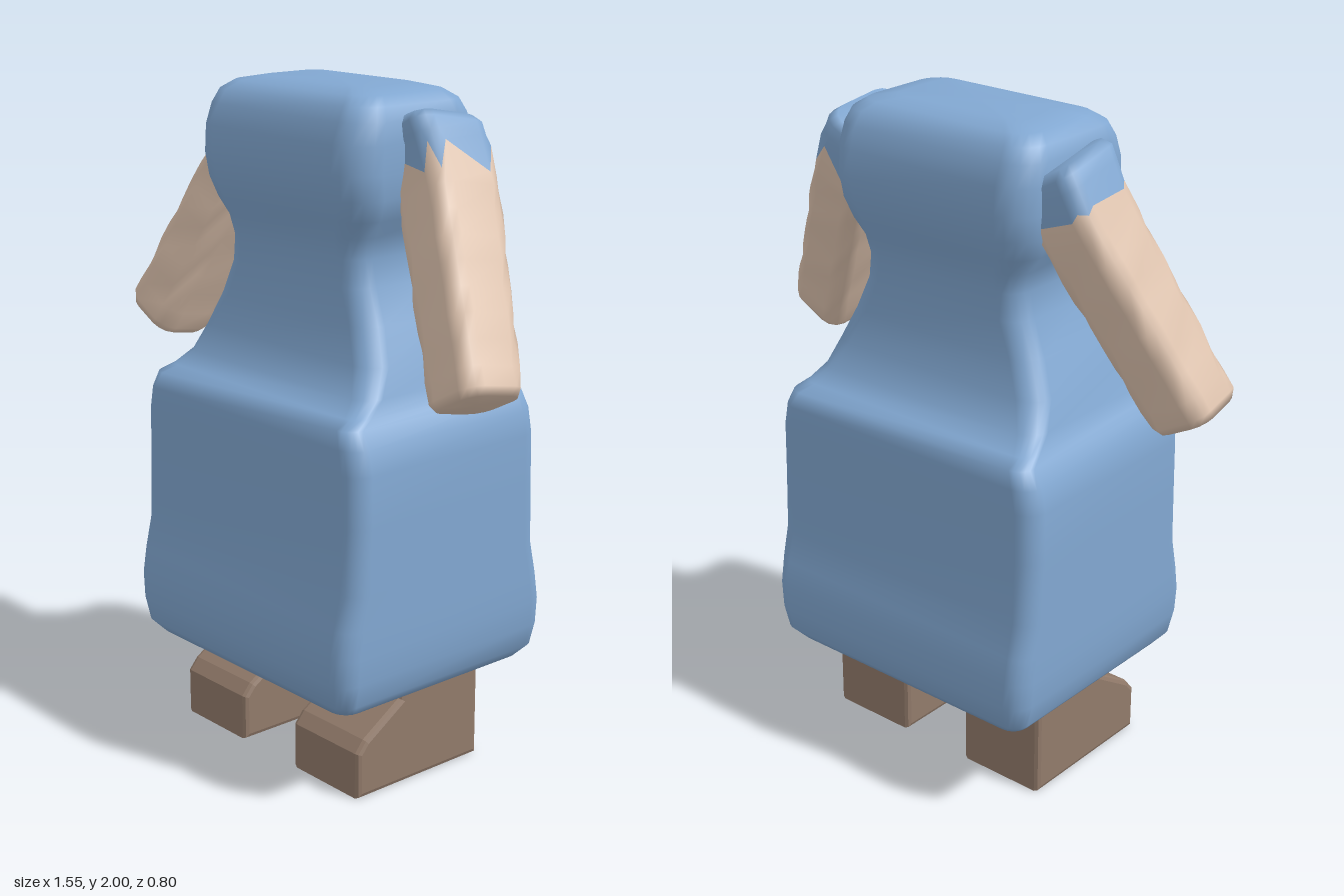
import * as THREE from 'three';

// Points of a rounded rectangle, counter-clockwise
function roundedRect(hx, hy, r, steps = 4) {
  const points = [];
  [[1, 1], [-1, 1], [-1, -1], [1, -1]].forEach(([sx, sy], corner) => {
    for (let i = 0; i < steps; i++) {
      const a = (corner + i / (steps - 1)) * Math.PI / 2;
      points.push([sx * (hx - r) + r * Math.cos(a), sy * (hy - r) + r * Math.sin(a)]);
    }
  });
  return points;
}

// Skin over rings of points, with both ends closed; material changes at ring `split`
function loft(rings, startCentre, endCentre, split = 0) {
  const n = rings[0].length, last = rings.length - 1;
  const positions = [...rings.flat(), startCentre, endCentre].flatMap((p) => [p.x, p.y, p.z]);
  const index = [];
  const start = rings.length * n, end = start + 1;
  let cut = 0;
  for (let j = 0; j < n; j++) index.push(start, (j + 1) % n, j);
  for (let i = 0; i < last; i++) {
    if (i === split) cut = index.length;
    for (let j = 0; j < n; j++) {
      const a = i * n + j, b = i * n + (j + 1) % n;
      index.push(a, b, b + n, a, b + n, a + n);
    }
  }
  for (let j = 0; j < n; j++) index.push(end, last * n + j, last * n + (j + 1) % n);
  const geometry = new THREE.BufferGeometry();
  geometry.setAttribute('position', new THREE.Float32BufferAttribute(positions, 3));
  geometry.setIndex(index);
  geometry.computeVertexNormals();
  if (split) {
    geometry.addGroup(0, cut, 0);
    geometry.addGroup(cut, index.length - cut, 1);
  }
  return geometry;
}

// Dress sections: height, half width, half depth, corner radius
const DRESS = [
  [0.275, 0.40, 0.28, 0.05], [0.295, 0.44, 0.355, 0.05], [0.33, 0.47, 0.385, 0.05],
  [0.40, 0.485, 0.398, 0.06], [0.48, 0.49, 0.398, 0.06], [0.56, 0.49, 0.385, 0.06],
  [0.66, 0.49, 0.362, 0.06], [0.85, 0.49, 0.356, 0.06], [1.0, 0.488, 0.355, 0.06],
  [1.07, 0.475, 0.354, 0.06], [1.12, 0.448, 0.345, 0.05], [1.14, 0.43, 0.30, 0.05],
  [1.18, 0.41, 0.25, 0.06], [1.26, 0.385, 0.215, 0.07], [1.36, 0.34, 0.19, 0.07],
  [1.46, 0.297, 0.182, 0.07], [1.54, 0.284, 0.186, 0.07], [1.60, 0.298, 0.2, 0.08],
  [1.65, 0.33, 0.22, 0.09], [1.71, 0.355, 0.238, 0.1], [1.78, 0.36, 0.248, 0.1],
  [1.86, 0.36, 0.243, 0.1], [1.92, 0.352, 0.222, 0.09], [1.96, 0.335, 0.2, 0.08],
  [1.985, 0.30, 0.165, 0.07], [2.0, 0.22, 0.11, 0.05],
];

function dressGeometry() {
  const rings = DRESS.map(([y, hx, hz, r]) =>
    roundedRect(hx, hz, r, 6).map(([a, b]) => new THREE.Vector3(a, y, -b)));
  return loft(rings, new THREE.Vector3(0, 0.25, 0), new THREE.Vector3(0, 2, 0));
}

// Arm with sleeve; the sleeve edge is zigzagged by `tooth`
function armGeometry(side, tooth) {
  const centre = (t) => new THREE.Vector3(
    side * (0.33 + 0.36 * t), 1.9 - 0.69 * t, -0.045 + 0.155 * Math.max(0, (t - 0.2) / 0.8));
  const axis = centre(1).sub(centre(0)).normalize();
  const u = new THREE.Vector3(0, 0, 1).cross(axis).normalize();
  const v = axis.clone().cross(u);
  const stations = [0, 0.03, 0.08, 0.17, 0.27, 0.36, 0.45, 0.54, 0.63, 0.72, 0.81, 0.9, 0.97, 1];
  const split = 3;
  const rings = stations.map((t, i) => {
    const atEnd = i === 0 || i === stations.length - 1;
    const half = atEnd ? 0.092 : 0.106 - 0.004 * t;
    const depth = half + 0.018 * (1 - t);
    return roundedRect(half, depth, 0.05).map(([a, b], j) => {
      // Slightly lumpy skin below the sleeve
      const lump = i > split && !atEnd ? 1 + 0.035 * Math.sin(i * 2.3 + j * 4.1) : 1;
      const shift = i === split ? (j % 2 ? tooth : -tooth) : 0;
      return centre(t).addScaledVector(u, a * lump).addScaledVector(v, b * lump)
        .addScaledVector(axis, shift);
    });
  });
  return loft(rings, centre(0), centre(1), split);
}

// Foot: side profile extruded across, with a sloping instep
function footGeometry() {
  const bevel = 0.015, width = 0.29;
  const profile = [[-0.19, 0.015], [0.255, 0.015], [0.255, 0.135], [0.23, 0.165],
    [0.09, 0.255], [0.07, 0.34], [-0.19, 0.34]];
  const shape = new THREE.Shape(profile.map(([z, y]) => new THREE.Vector2(z, y)));
  const geometry = new THREE.ExtrudeGeometry(shape, {
    depth: width - 2 * bevel, bevelSize: bevel, bevelThickness: bevel, bevelSegments: 2,
  });
  geometry.translate(0, 0, bevel - width / 2);
  geometry.rotateY(-Math.PI / 2);
  return geometry;
}

export function createModel() {
  const material = (name, color) => {
    const m = new THREE.MeshStandardMaterial({ color });
    m.name = name;
    return m;
  };
  const blue = material('blue cloth', 0x82a8d2);
  const skin = material('skin', 0xe0c5b0);
  const brown = material('brown shoe', 0x927b6b);

  const model = new THREE.Group();
  model.name = 'dressedFigure';
  const add = (name, geometry, mat) => {
    const mesh = new THREE.Mesh(geometry, mat);
    mesh.name = name;
    model.add(mesh);
    return mesh;
  };

  add('dress', dressGeometry(), blue);
  for (const [name, side, tooth] of [['left', 1, 0.04], ['right', -1, 0.008]]) {
    add(name + 'ArmAndSleeve', armGeometry(side, tooth), [blue, skin]);
    add(name + 'Foot', footGeometry(), brown).position.x = side * 0.26;
  }
  return model;
}
